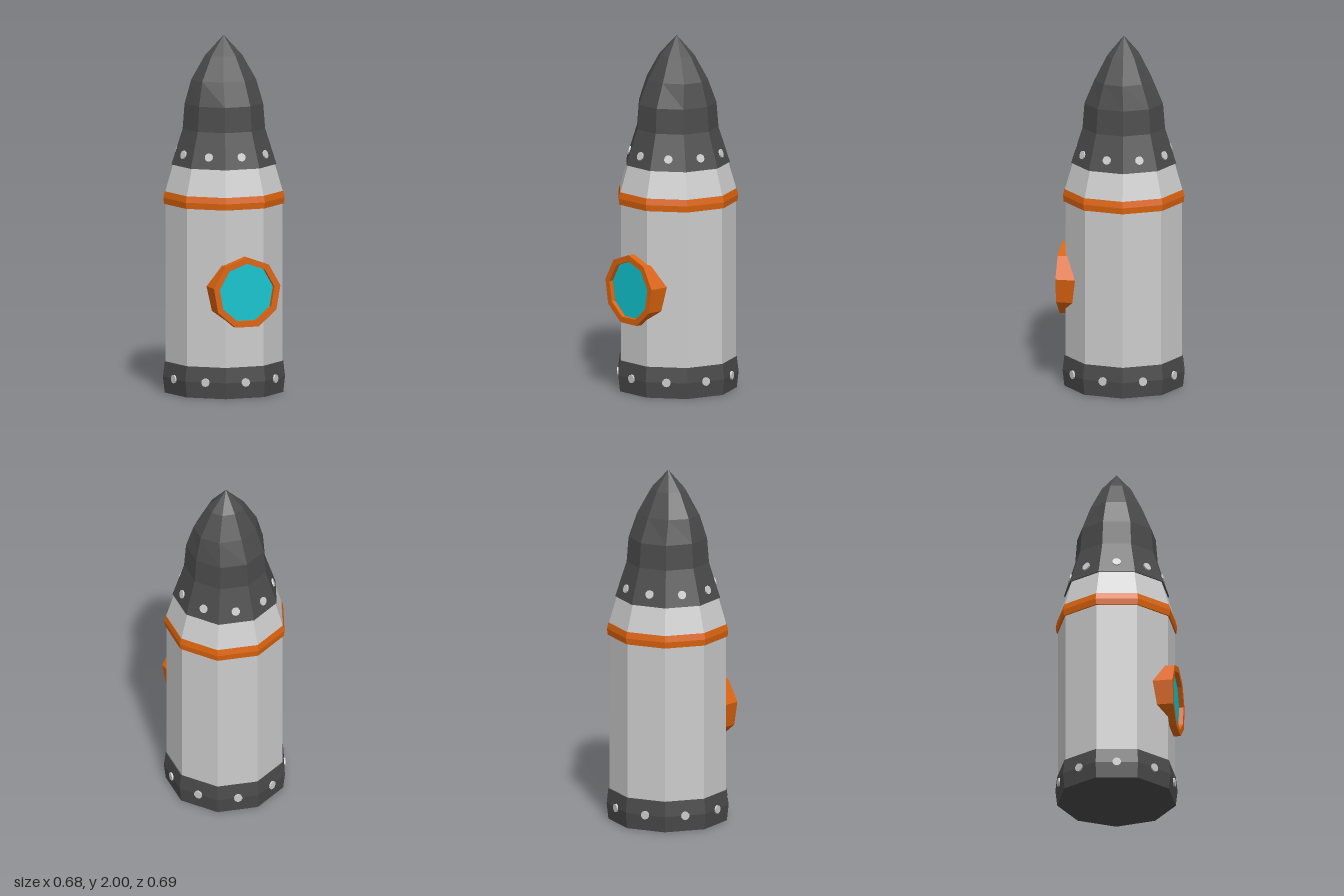
import * as THREE from 'three';

const SIDES = 9;
const mat = (color) => new THREE.MeshStandardMaterial({ color, flatShading: true });

export function createModel() {
  const group = new THREE.Group();
  const grey = mat(0xcccccc), dark = mat(0x4a4a4a), orange = mat(0xdc640f), cyan = mat(0x12c4d0);

  const add = (name, geometry, material, parent = group) => {
    const mesh = new THREE.Mesh(geometry, material);
    mesh.name = name;
    parent.add(mesh);
    return mesh;
  };
  // Nine-sided turned part, with a corner at the back and a flat face in front
  const turned = (profile) => new THREE.LatheGeometry(
    profile.map(([r, y]) => new THREE.Vector2(r, y)), SIDES, Math.PI);

  // Hull, tapering into the shoulder
  add('body', turned([[0.33, 0.1], [0.33, 1.1], [0.332, 1.13], [0.288, 1.28], [0, 1.28]]), grey);
  add('base', turned([[0, 0], [0.335, 0], [0.345, 0.09], [0.335, 0.175], [0.32, 0.175]]), dark);
  add('shoulderBand', turned([[0.32, 1.06], [0.339, 1.06], [0.343, 1.095], [0.335, 1.13], [0.32, 1.13]]), orange);

  // Nose cone, slightly narrowed front to back towards the tip
  const nose = turned([[0, 1.28], [0.297, 1.28], [0.233, 1.48], [0.222, 1.62], [0.186, 1.755], [0.106, 1.89], [0, 2]]);
  const p = nose.attributes.position;
  for (let i = 0; i < p.count; i++) if (p.getY(i) > 1.65) p.setZ(i, p.getZ(i) * 0.88);
  add('noseCone', nose, dark);

  // Porthole: nine-sided frame set into the hull, with recessed glass
  const porthole = new THREE.Group();
  porthole.name = 'porthole';
  porthole.position.set(0, 0.594, 0);
  group.add(porthole);
  const polygon = (r, Type) => new Type(Array.from({ length: SIDES }, (_, i) => {
    const a = Math.PI / 2 + (i / SIDES) * Math.PI * 2;
    return new THREE.Vector2(r * Math.cos(a), r * Math.sin(a));
  }));
  const ring = polygon(0.202, THREE.Shape);
  ring.holes.push(polygon(0.166, THREE.Path));
  const frame = new THREE.ExtrudeGeometry(ring, { depth: 0.15, bevelEnabled: false });
  add('portholeFrame', frame, orange, porthole).position.z = 0.2;
  add('portholeGlass', new THREE.ShapeGeometry(polygon(0.168, THREE.Shape)), cyan, porthole).position.z = 0.325;

  // Rivets, one in the middle of each face
  const disc = new THREE.CylinderGeometry(0.024, 0.024, 0.014, 10).rotateX(Math.PI / 2);
  const rivetRow = (name, y, r, tilt) => {
    const row = new THREE.Group();
    row.name = name;
    for (let i = 0; i < SIDES; i++) {
      const a = (i / SIDES) * Math.PI * 2;
      const rivet = add('rivet', disc, grey, row);
      rivet.position.set(r * Math.sin(a), y, r * Math.cos(a));
      rivet.rotation.set(-tilt, a, 0, 'YXZ');
    }
    group.add(row);
  };
  rivetRow('baseRivets', 0.09, 0.325, 0);
  rivetRow('noseRivets', 1.345, 0.261, 0.29);

  return group;
}
